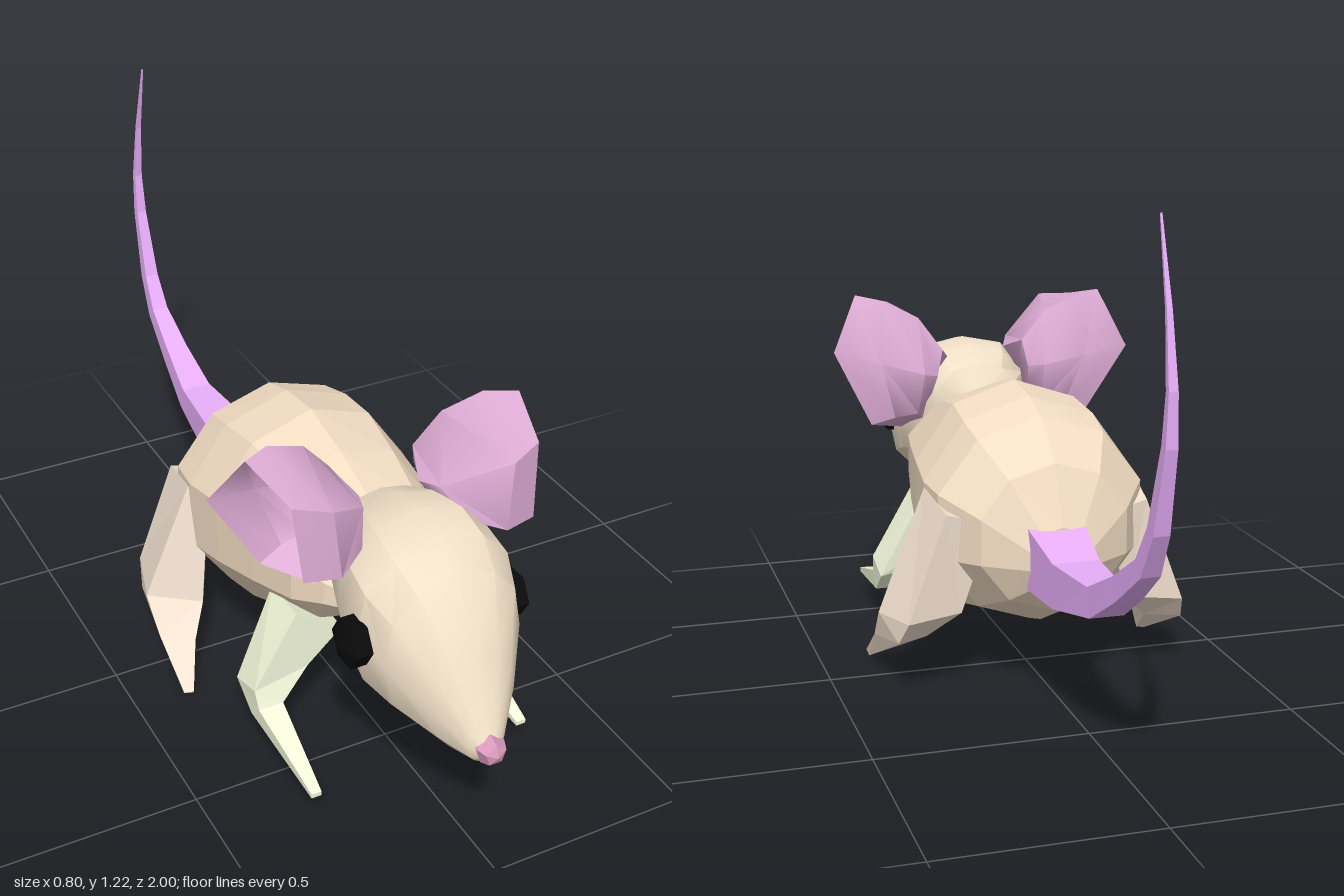
import * as THREE from 'three';
import { toCreasedNormals } from 'three/addons/utils/BufferGeometryUtils.js';

const V = (x, y, z) => new THREE.Vector3(x, y, z);

// Ring of n points: centre c, half-axes u and v; power below 1 makes it squarer
function ring(c, u, v, n, start = 0, power = 1) {
  const bend = (t) => Math.sign(t) * Math.abs(t) ** power;
  const pts = [];
  for (let i = 0; i < n; i++) {
    const a = start + (i / n) * Math.PI * 2;
    pts.push(c.clone().addScaledVector(u, bend(Math.cos(a))).addScaledVector(v, bend(Math.sin(a))));
  }
  return pts;
}

// Skin a list of rings; ends are closed with fans, winding is turned outward
function loft(rings, capStart = true) {
  const n = rings[0].length, pts = rings.flat(), tris = [];
  for (let r = 0; r < rings.length - 1; r++) {
    for (let i = 0; i < n; i++) {
      const a = r * n + i, b = r * n + (i + 1) % n;
      tris.push([a, b, b + n], [a, b + n, a + n]);
    }
  }
  const cap = (r, flip) => {
    const c = rings[r].reduce((s, p) => s.add(p), V(0, 0, 0)).divideScalar(n);
    const k = pts.push(c) - 1;
    for (let i = 0; i < n; i++) {
      const a = r * n + i, b = r * n + (i + 1) % n;
      tris.push(flip ? [k, b, a] : [k, a, b]);
    }
  };
  if (capStart) cap(0, true);
  cap(rings.length - 1, false);
  const mid = pts.reduce((s, p) => s.add(p), V(0, 0, 0)).divideScalar(pts.length);
  let volume = 0;
  for (const [a, b, c] of tris) {
    const [p, q, s] = [a, b, c].map((i) => pts[i].clone().sub(mid));
    volume += p.dot(q.cross(s));
  }
  if (volume < 0) tris.forEach((t) => t.reverse());
  const g = new THREE.BufferGeometry().setFromPoints(pts);
  g.setIndex(tris.flat());
  g.computeVertexNormals();
  return g;
}

// Rings across z from rows of [z, top, bottom, half width]
const sections = (rows, n, power = 1, x = () => 0) => rows.map(([z, t, b, w]) =>
  ring(V(x(z), (t + b) / 2, z), V(w, 0, 0), V(0, (t - b) / 2, 0), n, Math.PI / 2, power));

const mirrored = (rings, side) => rings.map((r) => r.map((p) => V(p.x * side, p.y, p.z)));

const material = (color, flat = true, side = THREE.FrontSide) =>
  new THREE.MeshStandardMaterial({ color, flatShading: flat, side });

export function createModel() {
  const model = new THREE.Group();
  const add = (name, geometry, mat) => {
    const m = new THREE.Mesh(geometry, mat);
    m.name = name;
    model.add(m);
    return m;
  };
  const fur = material(0xf4dec4), headFur = material(0xf2e1c8, false);
  const legFur = material(0xf4e2d1), pawFur = material(0xf5fadc);
  const earSkin = material(0xdfadd6, false, THREE.DoubleSide);
  const black = material(0x0a0a0a);

  // Plump faceted body
  add('body', loft(sections([
    [0.55, 0.5, 0.4, 0.1], [0.48, 0.56, 0.37, 0.17], [0.4, 0.62, 0.3, 0.215],
    [0.25, 0.67, 0.22, 0.245], [0.1, 0.705, 0.15, 0.268], [-0.03, 0.69, 0.12, 0.28],
    [-0.13, 0.66, 0.15, 0.268], [-0.24, 0.57, 0.21, 0.19], [-0.3, 0.43, 0.28, 0.085],
  ], 10)), fur);

  // Head tapering to the snout
  add('head', toCreasedNormals(loft(sections([
    [0.4, 0.62, 0.54, 0.05], [0.44, 0.68, 0.46, 0.12], [0.52, 0.715, 0.37, 0.165],
    [0.62, 0.728, 0.335, 0.195], [0.71, 0.71, 0.305, 0.2], [0.79, 0.67, 0.295, 0.17],
    [0.89, 0.53, 0.288, 0.1], [0.95, 0.39, 0.292, 0.045], [0.975, 0.35, 0.31, 0.02],
  ], 12, 0.85, (z) => -0.018 * Math.max(0, (z - 0.5) / 0.48))), 0.55), headFur);

  // Nose: five-sided bead pointing forward
  const nose = add('nose',
    new THREE.SphereGeometry(0.037, 5, 4).rotateY(-Math.PI / 2).rotateX(Math.PI / 2), material(0xdb9abc));
  nose.position.set(-0.018, 0.335, 0.965);

  // Tail: square section, sweeping back and curling up; rows are [z, y, half width, half height]
  const tailRows = [
    [-0.28, 0.355, 0.07, 0.075], [-0.43, 0.333, 0.056, 0.053], [-0.63, 0.358, 0.04, 0.034],
    [-0.76, 0.428, 0.03, 0.027], [-0.88, 0.508, 0.022, 0.022], [-0.935, 0.6, 0.018, 0.018],
    [-0.985, 0.78, 0.013, 0.012], [-0.992, 0.89, 0.01, 0.008], [-0.968, 1.04, 0.006, 0.005],
    [-0.918, 1.22, 0.002, 0.002],
  ];
  add('tail', loft(tailRows.map(([z, y, w, h], i) => {
    const p = tailRows[Math.max(i - 1, 0)], q = tailRows[Math.min(i + 1, tailRows.length - 1)];
    const t = i ? V(0, q[1] - p[1], q[0] - p[0]).normalize() : V(0, 0, -1);
    const up = V(0, -t.z, t.y);
    return ring(V(0.01, y, z), V(w * Math.SQRT2, 0, 0), up.multiplyScalar(h * Math.SQRT2), 4, Math.PI / 4);
  })), material(0xe8aefa));

  // Ear bowl from rim to floor: front lip, crown, outer edge, lobe
  const earRings = [
    [V(0.27, 0.65, 0.655), V(0.275, 0.838, 0.645), V(0.322, 0.875, 0.49), V(0.398, 0.74, 0.4),
      V(0.3, 0.54, 0.41), V(0.2, 0.51, 0.5), V(0.165, 0.64, 0.53), V(0.2, 0.645, 0.655)],
    [V(0.19, 0.65, 0.675), V(0.195, 0.825, 0.678), V(0.26, 0.865, 0.44), V(0.28, 0.71, 0.365),
      V(0.24, 0.56, 0.39), V(0.18, 0.53, 0.47), V(0.15, 0.64, 0.53), V(0.17, 0.645, 0.64)],
    [V(0.12, 0.66, 0.61), V(0.09, 0.72, 0.55), V(0.17, 0.82, 0.41), V(0.17, 0.68, 0.34),
      V(0.18, 0.57, 0.38), V(0.15, 0.54, 0.46), V(0.135, 0.64, 0.52), V(0.12, 0.65, 0.59)],
    [V(0.11, 0.66, 0.53), V(0.075, 0.7, 0.48), V(0.11, 0.735, 0.39), V(0.13, 0.67, 0.365),
      V(0.14, 0.62, 0.39), V(0.14, 0.6, 0.44), V(0.13, 0.64, 0.48), V(0.115, 0.65, 0.51)],
  ];

  // Hind leg: hip, knee, heel, toe (corners: front, outer, back, inner)
  const hindRings = [
    [V(0.23, 0.44, -0.01), V(0.268, 0.48, -0.04), V(0.25, 0.45, -0.19), V(0.14, 0.42, -0.19)],
    [V(0.265, 0.17, 0.025), V(0.387, 0.18, -0.05), V(0.345, 0.19, -0.195), V(0.21, 0.2, -0.17)],
    [V(0.31, 0.1, 0.075), V(0.384, 0.1, 0.02), V(0.36, 0.13, -0.15), V(0.28, 0.125, -0.1)],
    [V(0.355, 0.012, 0.16), V(0.378, 0.012, 0.155), V(0.374, 0, 0.14), V(0.356, 0, 0.15)],
  ];

  // Front leg: shoulder, elbow, wrist, toe
  const frontRings = [
    ring(V(0.135, 0.33, 0.345), V(0.085, 0.055, 0), V(0, 0, 0.09), 4, Math.PI / 4),
    ring(V(0.235, 0.18, 0.36), V(0.098, -0.02, 0), V(0, 0.02, 0.07), 4, Math.PI / 4),
    ring(V(0.27, 0.115, 0.405), V(0.045, 0, 0), V(0, 0.028, 0.03), 4, Math.PI / 4),
    ring(V(0.275, 0.062, 0.67), V(0.018, 0, 0), V(0, 0.008, 0), 4, Math.PI / 4),
  ];

  for (const [side, label] of [[1, 'left'], [-1, 'right']]) {
    const ear = loft(mirrored(earRings, side), false);
    // the right ear sits slightly turned
    if (side < 0) {
      ear.translate(0.2, -0.68, -0.5).rotateZ(0.1).rotateY(-0.14).translate(-0.21, 0.685, 0.5);
    }
    add(label + 'Ear', toCreasedNormals(ear, 0.95), earSkin);
    add(label + 'HindLeg', loft(mirrored(hindRings, side)), legFur);
    add(label + 'FrontLeg', loft(mirrored(frontRings, side)), pawFur);

    // Eye: six-sided ball, pole facing sideways
    const eye = add(label + 'Eye', new THREE.SphereGeometry(0.066, 6, 3).rotateY(Math.PI / 6), black);
    eye.rotation.z = -side * Math.PI / 2;
    eye.scale.y = 0.6;
    eye.position.set(side > 0 ? 0.178 : -0.213, 0.51, 0.71);
  }
  return model;
}
